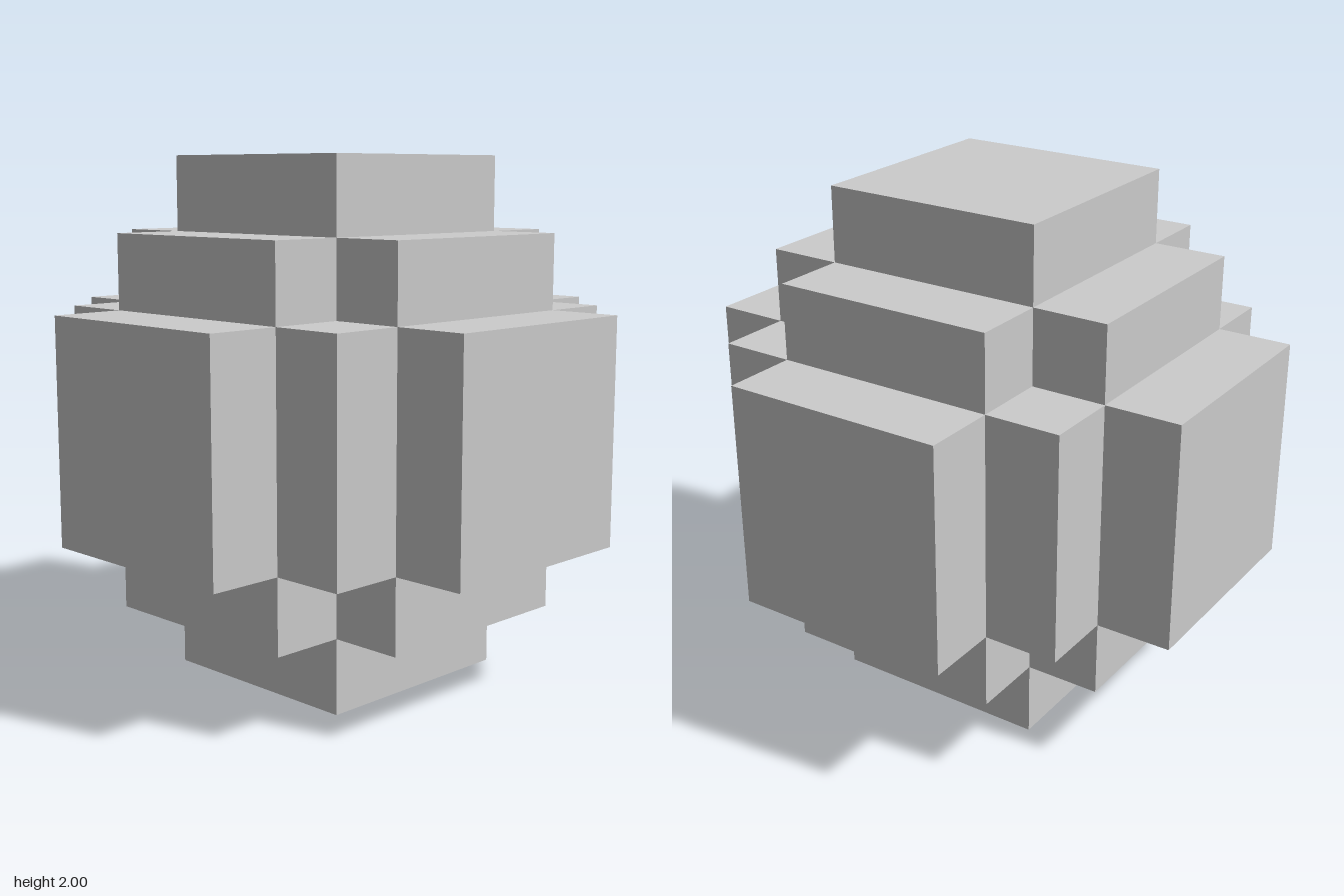
import * as THREE from 'three';

// Blocky sphere on a 7-unit grid: three crossed bars and three crossed slabs.
export function createModel() {
  const unit = 2 / 7;
  const group = new THREE.Group();
  group.name = 'blockSphere';
  const material = new THREE.MeshStandardMaterial({ color: 0xcccccc, flatShading: true });

  const addBlock = (name, size) => {
    const mesh = new THREE.Mesh(new THREE.BoxGeometry(...size.map((s) => s * unit)), material);
    mesh.name = name;
    mesh.position.y = 1;
    group.add(mesh);
  };

  ['X', 'Y', 'Z'].forEach((axis, i) => {
    // long bar reaching the two end caps on this axis
    addBlock(`capBar${axis}`, [0, 1, 2].map((k) => (k === i ? 7 : 3)));
    // square slab filling the stepped edges around this axis
    addBlock(`stepSlab${axis}`, [0, 1, 2].map((k) => (k === i ? 3 : 5)));
  });
  return group;
}
